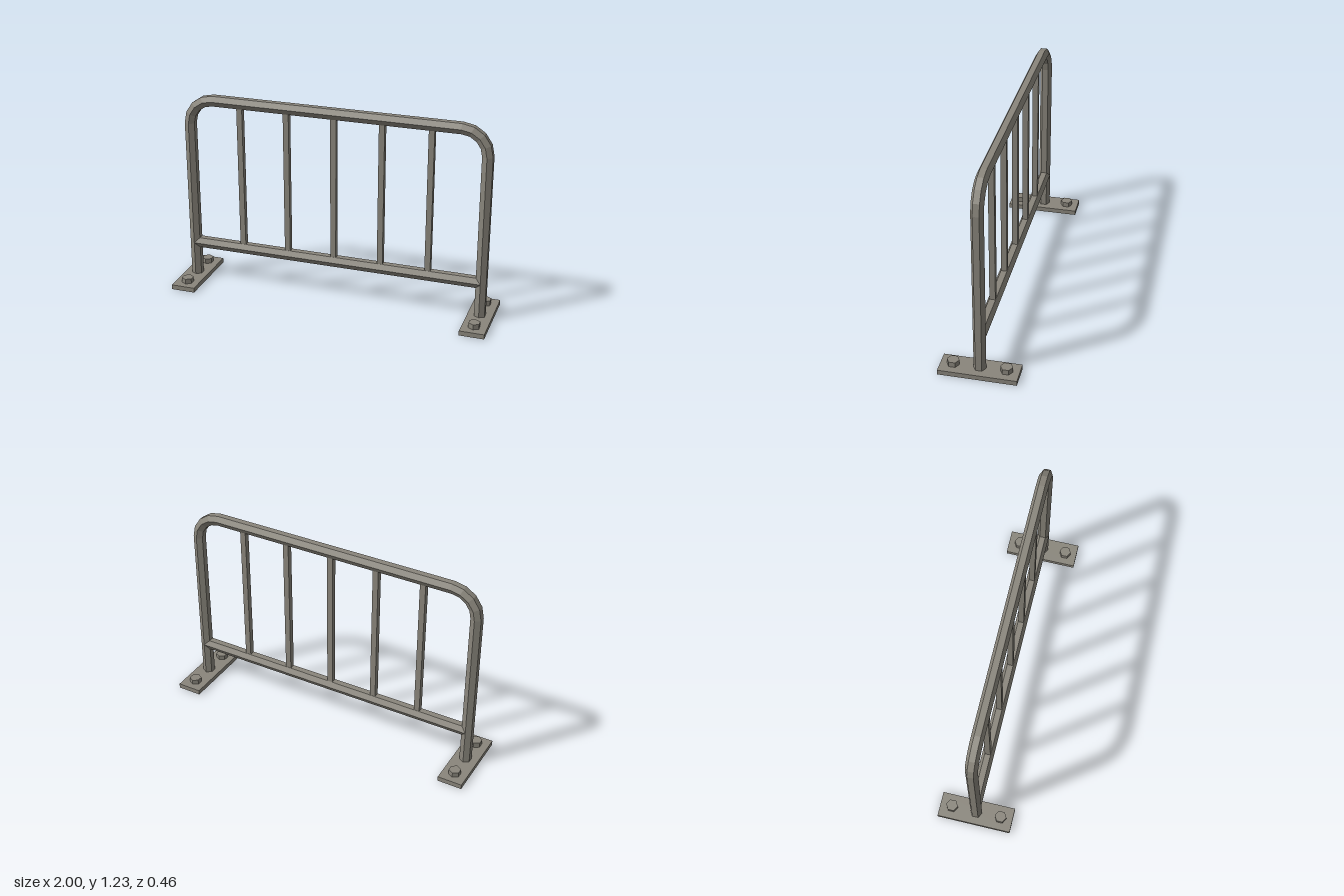
import * as THREE from 'three';

const TUBE_R = 0.037;            // hexagonal tube, corners facing +z and -z
const POST_X = 0.923, TOP_Y = 1.2, BEND_R = 0.155, PLATE_H = 0.03;

// Hexagonal tube swept along stations [x, y, outward angle] in the xy plane
function sweepHex(stations, radius) {
  const pos = [], index = [];
  for (const [x, y, a] of stations) {
    for (let i = 0; i < 6; i++) {
      const t = (i / 6) * Math.PI * 2;
      const out = Math.sin(t) * radius;
      pos.push(x + Math.cos(a) * out, y + Math.sin(a) * out, Math.cos(t) * radius);
    }
  }
  for (let s = 0; s < stations.length - 1; s++) {
    for (let i = 0; i < 6; i++) {
      const j = (i + 1) % 6;
      const a = s * 6 + i, b = s * 6 + j, c = a + 6, d = b + 6;
      index.push(a, b, d, a, d, c);
    }
  }
  const g = new THREE.BufferGeometry();
  g.setAttribute('position', new THREE.Float32BufferAttribute(pos, 3));
  g.setIndex(index);
  g.computeVertexNormals();
  return g;
}

// Box without its underside
function openBox(w, h, d) {
  const g = new THREE.BoxGeometry(w, h, d);
  const idx = Array.from(g.index.array);
  idx.splice(18, 6);
  g.setIndex(idx);
  g.clearGroups();
  return g;
}

export function createModel() {
  const group = new THREE.Group();
  const metal = new THREE.MeshStandardMaterial({ color: 0x8a867c, flatShading: true, side: THREE.DoubleSide });
  metal.name = 'grey metal';

  const add = (name, geometry, x = 0, y = 0, z = 0) => {
    const mesh = new THREE.Mesh(geometry, metal);
    mesh.name = name;
    mesh.position.set(x, y, z);
    group.add(mesh);
  };

  // Outer frame: right-hand post, bend, top rail, bend, other post
  const stations = [[POST_X, PLATE_H, 0]];
  const steps = 4;
  for (const side of [1, -1]) {
    for (let i = 0; i <= steps; i++) {
      const a = (i / steps) * Math.PI / 2 + (side < 0 ? Math.PI / 2 : 0);
      stations.push([
        side * (POST_X - BEND_R) + Math.cos(a) * BEND_R,
        TOP_Y - BEND_R + Math.sin(a) * BEND_R,
        a,
      ]);
    }
  }
  stations.push([-POST_X, PLATE_H, Math.PI]);
  add('frame', sweepHex(stations, TUBE_R));

  // Lower rail between the posts
  const rail = new THREE.CylinderGeometry(TUBE_R, TUBE_R, POST_X * 2, 6);
  rail.rotateZ(Math.PI / 2);
  add('lowerRail', rail, 0, 0.248, 0);

  // Square upright bars
  const barBottom = 0.25, barTop = 1.19;
  for (let i = -2; i <= 2; i++) {
    add('bar', new THREE.BoxGeometry(0.035, barTop - barBottom, 0.035), i * 0.297, (barBottom + barTop) / 2, 0);
  }

  // Foot plates, hollow underneath, each with two hex bolts
  for (const [side, label] of [[1, 'left'], [-1, 'right']]) {
    add(label + 'FootPlate', openBox(0.152, PLATE_H, 0.46), side * 0.924, PLATE_H / 2, 0);
    for (const z of [-0.155, 0.155]) {
      add(label + 'Bolt', new THREE.CylinderGeometry(0.037, 0.037, 0.032, 6), side * POST_X, PLATE_H + 0.016, z);
    }
  }
  return group;
}
